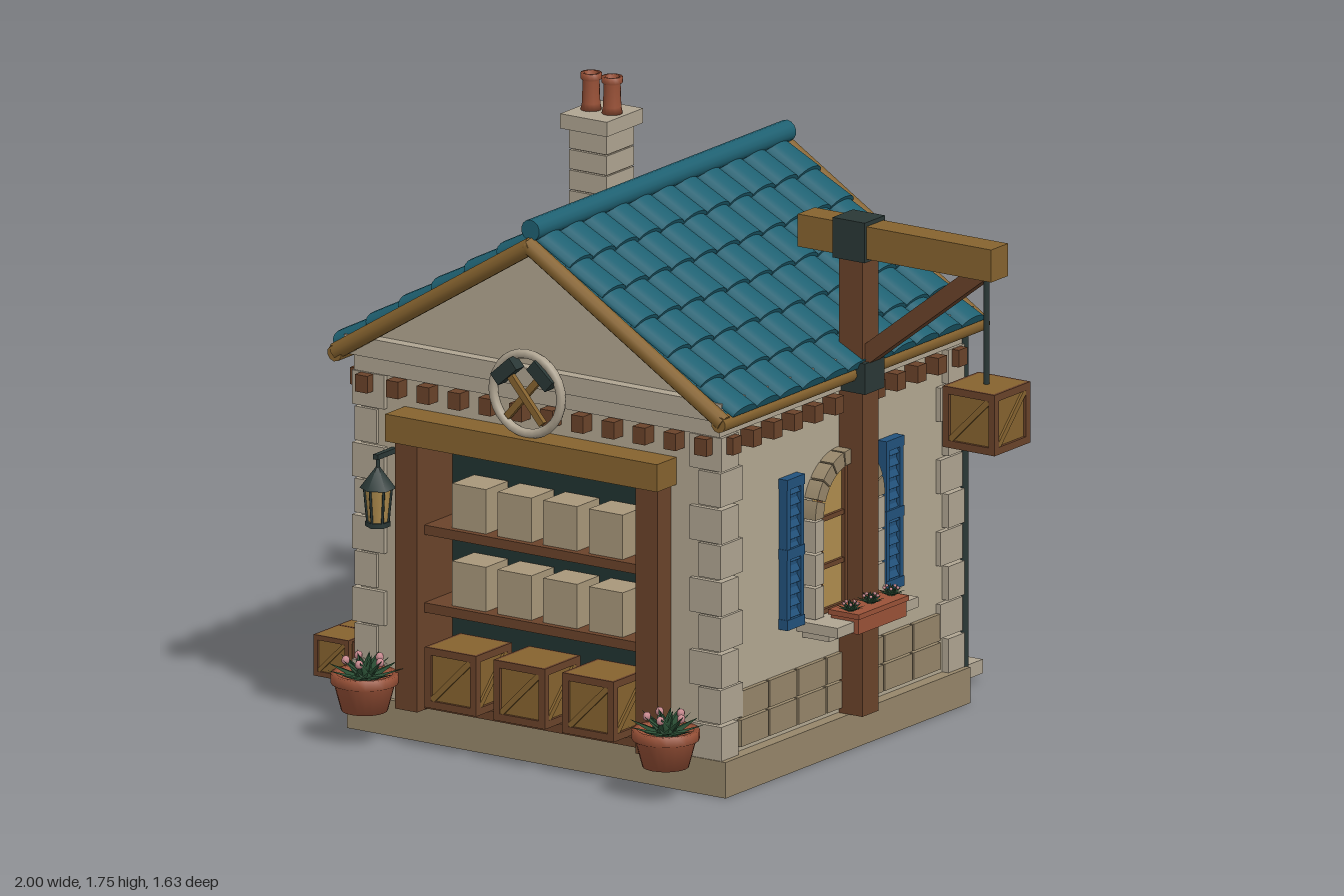
import * as THREE from 'three';
import { mergeGeometries } from 'three/addons/utils/BufferGeometryUtils.js';

const mat = (color, extra = {}) => new THREE.MeshStandardMaterial({ color, ...extra });
const M = {
  plaster: mat(0xb3a892), stone: mat(0xb0a592), tan: mat(0x96866a), brown: mat(0x6a432a), wood: mat(0x86632f),
  teal: mat(0x1f6172), blue: mat(0x22527c), iron: mat(0x2a3836), dark: mat(0x203331), clay: mat(0x9a5238),
  glass: mat(0xb08d4e), green: mat(0x2d5237, { side: THREE.DoubleSide }), pink: mat(0xc98a90), box: mat(0xa8977a),
};
const PI = Math.PI;

function add(parent, name, geo, m, x = 0, y = 0, z = 0) {
  const mesh = new THREE.Mesh(geo, m);
  mesh.name = name;
  mesh.position.set(x, y, z);
  parent.add(mesh);
  return mesh;
}
// Box given by its limits on each axis
const box = (p, name, m, x0, x1, y0, y1, z0, z1) =>
  add(p, name, new THREE.BoxGeometry(x1 - x0, y1 - y0, z1 - z0), m, (x0 + x1) / 2, (y0 + y1) / 2, (z0 + z1) / 2);
function group(parent, name, x = 0, y = 0, z = 0, ry = 0) {
  const g = new THREE.Group();
  g.name = name;
  g.position.set(x, y, z);
  g.rotation.y = ry;
  parent.add(g);
  return g;
}
const extrude = (shape, depth) => new THREE.ExtrudeGeometry(shape, { depth, bevelEnabled: false, curveSegments: 10 });
// Round or square bar between two points
function bar(p, name, m, a, b, r, sides = 10) {
  const A = new THREE.Vector3(...a), d = new THREE.Vector3(...b).sub(A);
  const mesh = add(p, name, new THREE.CylinderGeometry(r, r, d.length(), sides), m);
  mesh.position.copy(A).addScaledVector(d, 0.5);
  mesh.quaternion.setFromUnitVectors(new THREE.Vector3(0, 1, 0), d.normalize());
  return mesh;
}

function crate(parent, x, y, z, s) {
  const c = group(parent, 'crate', x, y + s / 2, z), h = s / 2, t = s * 0.12, d = s * 0.05;
  add(c, 'crateBody', new THREE.BoxGeometry(s - 2 * d, s, s - 2 * d), M.wood);
  for (let i = 0; i < 4; i++) {
    const f = group(c, 'crateFace', 0, 0, 0, i * PI / 2);
    for (const e of [-1, 1]) {
      add(f, 'crateRail', new THREE.BoxGeometry(s, t, d), M.brown, 0, e * (h - t / 2), h - d / 2);
      add(f, 'crateStile', new THREE.BoxGeometry(t, s, d), M.brown, e * (h - t / 2), 0, h - d / 2);
    }
    add(f, 'crateBrace', new THREE.BoxGeometry(s * 1.05, t * 0.8, d * 0.8), M.wood, 0, 0, h - d / 2).rotation.z = PI / 4;
  }
}

// Rosette of pointed leaves with small blossoms
function plant(parent, x, y, z, s) {
  const p = group(parent, 'plant', x, y, z);
  [[9, 1.25, 1], [7, 0.8, 0.85], [4, 0.3, 0.7]].forEach(([n, tilt, len], ring) => {
    for (let i = 0; i < n; i++) {
      const leaf = group(p, 'leafStem', 0, 0, 0, (i + ring * 0.5) * 2 * PI / n);
      const geo = new THREE.ConeGeometry(s * 0.26, s * len, 4).scale(1, 1, 0.25).translate(0, s * len / 2, 0);
      add(leaf, 'leaf', geo, M.green).rotation.x = tilt;
    }
  });
  for (let i = 0; i < 5; i++)
    add(p, 'blossom', new THREE.SphereGeometry(s * 0.11, 6, 5), M.pink,
      Math.cos(i * 1.26) * s * 0.45, s * 0.5, Math.sin(i * 1.26) * s * 0.45);
}

// Arched opening: fill, jamb stones and voussoirs, facing +z
function arch(p, fill, y0, spring, R, r, depth, stones) {
  const s = new THREE.Shape();
  s.moveTo(-r, y0).lineTo(r, y0).lineTo(r, spring).absarc(0, spring, r, 0, PI, false);
  add(p, 'archFill', extrude(s, 0.02), fill);
  for (let i = 0; i < stones; i++) {
    const a = i * PI / stones + 0.015, b = (i + 1) * PI / stones - 0.015;
    const v = new THREE.Shape();
    v.absarc(0, 0, R, a, b, false).absarc(0, 0, r, b, a, true);
    add(p, 'voussoir', extrude(v, depth), M.tan, 0, spring);
  }
  const n = 3, h = (spring - y0) / n;
  for (const e of [-1, 1]) for (let i = 0; i < n; i++)
    add(p, 'jambStone', new THREE.BoxGeometry(R - r, h - 0.006, depth), M.stone, e * (R + r) / 2, y0 + h * (i + 0.5), depth / 2);
}

function windowUnit(parent, x, z, ry) {
  const w = group(parent, 'window', x, 0, z, ry);
  arch(w, M.glass, 0.42, 0.71, 0.172, 0.13, 0.045, 9);
  // Glazing bars and frame
  for (const mx of [-0.125, 0, 0.125])
    box(w, 'mullion', M.brown, mx - 0.008, mx + 0.008, 0.42, mx ? 0.71 : 0.84, 0.01, 0.032);
  for (const my of [0.43, 0.56, 0.7]) box(w, 'glazingBar', M.brown, -0.13, 0.13, my - 0.007, my + 0.007, 0.01, 0.03);
  const rim = add(w, 'archFrame', new THREE.TorusGeometry(0.123, 0.01, 6, 16, PI), M.brown, 0, 0.71, 0.02);
  rim.scale.z = 0.8;
  // Sill and planter
  box(w, 'sill', M.stone, -0.2, 0.2, 0.39, 0.42, 0, 0.14);
  box(w, 'sillBracket', M.stone, -0.17, 0.17, 0.365, 0.39, 0, 0.09);
  box(w, 'planter', M.clay, -0.118, 0.118, 0.385, 0.435, 0.06, 0.155);
  box(w, 'planterRim', M.clay, -0.124, 0.124, 0.43, 0.445, 0.055, 0.16);
  for (const px of [-0.1, 0, 0.1]) plant(w, px, 0.445, 0.115, 0.045);
  // Louvred shutters
  for (const e of [-1, 1]) {
    const s = group(w, 'shutter', e * 0.245, 0.635, 0);
    box(s, 'shutterPanel', M.blue, -0.037, 0.037, -0.22, 0.22, 0, 0.015);
    for (const k of [-1, 1]) box(s, 'shutterStile', M.blue, k * 0.034 - 0.008, k * 0.034 + 0.008, -0.22, 0.22, 0, 0.028);
    for (const k of [-0.205, 0, 0.205]) box(s, 'shutterRail', M.blue, -0.044, 0.044, k - 0.015, k + 0.015, 0, 0.03);
    for (let i = 0; i < 12; i++)
      add(s, 'louvre', new THREE.BoxGeometry(0.06, 0.02, 0.006), M.blue, 0, -0.18 + i * 0.0327, 0.018).rotation.x = -0.5;
  }
}

function walls(b, W, D) {
  box(b, 'plinth', M.tan, -0.647, 0.647, 0, 0.105, -0.605, 0.605);
  box(b, 'walls', M.plaster, -W, W, 0.1, 1.12, -D, 0.47);
  // Front wall with the shop opening
  const f = new THREE.Shape([[-W, 0.1], [W, 0.1], [W, 1.12], [-W, 1.12]].map(p => new THREE.Vector2(...p)));
  f.holes.push(new THREE.Path([[-0.375, 0.105], [-0.375, 0.9], [0.375, 0.9], [0.375, 0.105]].map(p => new THREE.Vector2(...p))));
  add(b, 'frontWall', extrude(f, D - 0.47), M.plaster, 0, 0, 0.47);
  const g = new THREE.Shape([[-0.63, 1.13], [0.63, 1.13], [0, 1.515]].map(p => new THREE.Vector2(...p)));
  add(b, 'gable', extrude(g, 2 * D), M.plaster, 0, 0, -D);
  box(b, 'lowerCornice', M.stone, -W - 0.015, W + 0.015, 1.05, 1.1, -D - 0.015, D + 0.015);
  box(b, 'upperCornice', M.stone, -0.645, 0.645, 1.1, 1.155, -D - 0.035, D + 0.035);
  // Corner stones, drain pipes
  for (const sx of [-1, 1]) for (const sz of [-1, 1]) {
    for (let i = 0; i < 9; i++) {
      const lx = i % 2 ? 0.075 : 0.11, lz = i % 2 ? 0.11 : 0.085, o = i % 2 ? 0.016 : 0.022;
      add(b, 'cornerStone', new THREE.BoxGeometry(lx, 0.099, lz), M.stone,
        sx * (W + o - lx / 2), 0.155 + i * 0.1055, sz * (D + o * 0.7 - lz / 2));
    }
    if (sz < 0) bar(b, 'drainPipe', M.iron, [sx * 0.625, 0.1, -0.608], [sx * 0.625, 1.1, -0.608], 0.012);
  }
  // Eave brackets and base stones on each face
  const faces = [[0, D, 0, W], [W, 0, PI / 2, D], [0, -D, PI, W], [-W, 0, -PI / 2, D]];
  faces.forEach(([x, z, ry, half], k) => {
    const face = group(b, 'wallTrim', x, 0, z, ry);
    for (let i = 0; i < 12; i++)
      add(face, 'eaveBracket', new THREE.BoxGeometry(0.042, 0.05, 0.05), M.brown, (i - 5.5) * (half * 2 - 0.06) / 11, 1.022, 0.02);
    if (k === 0) return;
    for (let row = 0; row < 2; row++) for (let i = 0; i < 7; i++) {
      const w = (half - 0.09) * 2 / 7;
      add(face, 'baseStone', new THREE.BoxGeometry(w - 0.008, 0.078, 0.02), M.tan, (i - 3) * w, 0.16 + row * 0.084, 0.004);
    }
  });
}

function roof(b) {
  const a = Math.atan(0.62), L = 0.79, rows = 6, cols = 11, pitch = L / rows, cw = 1.24 / cols;
  for (const ry of [0, PI]) {
    const side = group(group(b, 'roofSide', 0, 1.535, 0, ry), 'roofSlope');
    side.rotation.z = -a;
    box(side, 'roofBoard', M.teal, 0, L, -0.025, 0, -0.62, 0.62);
    const tiles = [];
    for (let r = 0; r < rows; r++) for (let c = 0; c < cols; c++)
      tiles.push(new THREE.CylinderGeometry(cw * 0.47, cw * 0.51, pitch * 1.12, 8, 1, false, 0, PI)
        .rotateZ(PI / 2).scale(1, 0.5, 1).rotateZ(0.07)
        .translate((r + 0.5) * pitch, 0.004, (c - (cols - 1) / 2) * cw));
    add(side, 'roofTiles', mergeGeometries(tiles), M.teal);
    // Verge boards and eave rail
    for (const z of [-0.637, 0.637]) bar(side, 'vergeBoard', M.wood, [0, -0.015, z], [L, -0.015, z], 0.025);
    bar(side, 'eaveRail', M.wood, [L - 0.005, -0.02, -0.655], [L - 0.005, -0.02, 0.655], 0.024);
  }
  bar(b, 'ridgeTile', M.teal, [0, 1.563, -0.635], [0, 1.563, 0.635], 0.031, 14);
  // Chimney
  const c = group(b, 'chimney', -0.382, 0, -0.27);
  box(c, 'chimneyCore', M.tan, -0.058, 0.058, 1.24, 1.6, -0.058, 0.058);
  for (let i = 0; i < 6; i++) box(c, 'chimneyCourse', M.stone, -0.064, 0.064, 1.24 + i * 0.06, 1.296 + i * 0.06, -0.068, 0.068);
  box(c, 'chimneyCap', M.stone, -0.08, 0.08, 1.6, 1.643, -0.09, 0.09);
  const pot = [[0, 0], [0.03, 0], [0.026, 0.02], [0.024, 0.085], [0.03, 0.09], [0.03, 0.107], [0.02, 0.107], [0.018, 0.07], [0, 0.07]];
  for (const x of [-0.036, 0.036])
    add(c, 'chimneyPot', new THREE.LatheGeometry(pot.map(p => new THREE.Vector2(...p)), 14), M.clay, x, 1.643, 0);
}

function shopFront(b) {
  box(b, 'lintel', M.wood, -0.462, 0.468, 0.885, 0.965, 0.56, 0.685);
  for (const e of [-1, 1]) box(b, 'doorPost', M.brown, e * 0.411 - 0.038, e * 0.411 + 0.038, 0.1, 0.885, 0.48, 0.655);
  box(b, 'shopBack', M.dark, -0.375, 0.375, 0.105, 0.9, 0.46, 0.478);
  for (const y of [0.105, 0.385, 0.612]) box(b, 'shelf', M.brown, -0.373, 0.373, y, y + 0.028, 0.478, 0.62);
  for (const y of [0.413, 0.64]) for (let i = 0; i < 4; i++) {
    const x = (i - 1.5) * 0.156;
    box(b, 'storageBox', M.box, x - 0.058, x + 0.058, y, y + 0.13, 0.49, 0.6);
  }
  for (const x of [-0.235, 0, 0.235]) crate(b, x, 0.132, 0.602, 0.176);
  // Round sign with crossed hammers
  const s = group(b, 'sign', 0, 1.09, 0.65);
  add(s, 'signRing', new THREE.TorusGeometry(0.116, 0.014, 8, 28), M.stone);
  for (const e of [-1, 1]) {
    const h = group(s, 'hammer', 0, 0, e * 0.008 + 0.01);
    h.rotation.z = e * 0.72;
    box(h, 'hammerHandle', M.wood, -0.01, 0.01, -0.1, 0.09, -0.008, 0.008);
    box(h, 'hammerHead', M.iron, -0.042, 0.042, 0.065, 0.105, -0.02, 0.02);
  }
  // Lantern on a wall bracket
  const l = group(b, 'lantern', -0.497, 0, 0.67);
  box(l, 'lanternBracket', M.iron, -0.008, 0.008, 0.825, 0.84, -0.09, 0.012);
  bar(l, 'lanternHook', M.iron, [0, 0.79, 0], [0, 0.84, 0], 0.006);
  add(l, 'lanternRoof', new THREE.ConeGeometry(0.052, 0.07, 6), M.iron, 0, 0.775, 0);
  add(l, 'lanternGlass', new THREE.CylinderGeometry(0.038, 0.028, 0.105, 6), M.glass, 0, 0.69, 0);
  add(l, 'lanternBase', new THREE.CylinderGeometry(0.036, 0.036, 0.014, 6), M.iron, 0, 0.636, 0);
  for (let i = 0; i < 6; i++) {
    const q = i * PI / 3, c = Math.cos(q + PI / 6), n = Math.sin(q + PI / 6);
    bar(l, 'lanternBar', M.iron, [c * 0.029, 0.637, n * 0.029], [c * 0.039, 0.743, n * 0.039], 0.004, 5);
  }
  // Potted plants
  const pot = [[0, 0], [0.066, 0], [0.086, 0.075], [0.096, 0.08], [0.096, 0.108], [0.08, 0.108], [0.076, 0.095], [0, 0.095]];
  for (const x of [-0.515, 0.515]) {
    add(b, 'flowerPot', new THREE.LatheGeometry(pot.map(p => new THREE.Vector2(...p)), 20), M.clay, x, 0.098, 0.71);
    plant(b, x, 0.185, 0.71, 0.118);
  }
}

function backDoor(b, D) {
  const d = group(b, 'backDoor', 0.33, 0, -D, PI);
  arch(d, M.blue, 0.1, 0.44, 0.13, 0.092, 0.055, 7);
  for (const x of [-0.045, 0, 0.045]) box(d, 'doorPlank', M.blue, x - 0.018, x + 0.018, 0.11, 0.36, 0.02, 0.028);
  for (const e of [-1, 1]) box(d, 'doorPane', M.glass, e * 0.032 - 0.022, e * 0.032 + 0.022, 0.38, 0.48, 0.02, 0.026);
  add(d, 'doorKnob', new THREE.SphereGeometry(0.011, 8, 6), M.glass, 0.066, 0.29, 0.034);
  box(d, 'upperStep', M.stone, -0.178, 0.178, 0.06, 0.1, 0, 0.14);
  box(d, 'lowerStep', M.stone, -0.218, 0.218, 0.024, 0.065, 0, 0.222);
}

function crane(b) {
  const c = group(b, 'crane', 0.653, 0, -0.045);
  box(c, 'cranePost', M.brown, -0.04, 0.04, 0.105, 1.53, -0.04, 0.04);
  box(c, 'craneArm', M.wood, -0.18, 0.482, 1.445, 1.54, -0.042, 0.042);
  box(c, 'topCollar', M.iron, -0.055, 0.055, 1.435, 1.552, -0.05, 0.05);
  box(c, 'lowerCollar', M.iron, -0.03, 0.055, 1.05, 1.14, -0.048, 0.048);
  const brace = box(c, 'craneBrace', M.brown, -0.275, 0.275, -0.026, 0.026, -0.026, 0.026);
  brace.position.set(0.215, 1.295, 0);
  brace.rotation.z = Math.atan2(0.31, 0.4);
  bar(c, 'rope', M.iron, [0.437, 1.12, 0], [0.437, 1.46, 0], 0.009);
  crate(c, 0.437, 0.955, 0, 0.178);
}

export function createModel() {
  const root = new THREE.Group();
  root.name = 'workshop';
  const b = group(root, 'building', -0.183, 0, -0.008), W = 0.61, D = 0.588;
  walls(b, W, D);
  roof(b);
  shopFront(b);
  windowUnit(b, W, 0, PI / 2);
  windowUnit(b, -W, 0, -PI / 2);
  windowUnit(b, 0, -D, PI);
  backDoor(b, D);
  crane(b);
  // Crates stacked beside the wall
  for (const z of [0.222, 0.344, 0.466]) {
    crate(b, -0.757, 0.108, z, 0.12);
    crate(b, -0.625, 0.108, z, 0.12);
  }
  return root;
}
